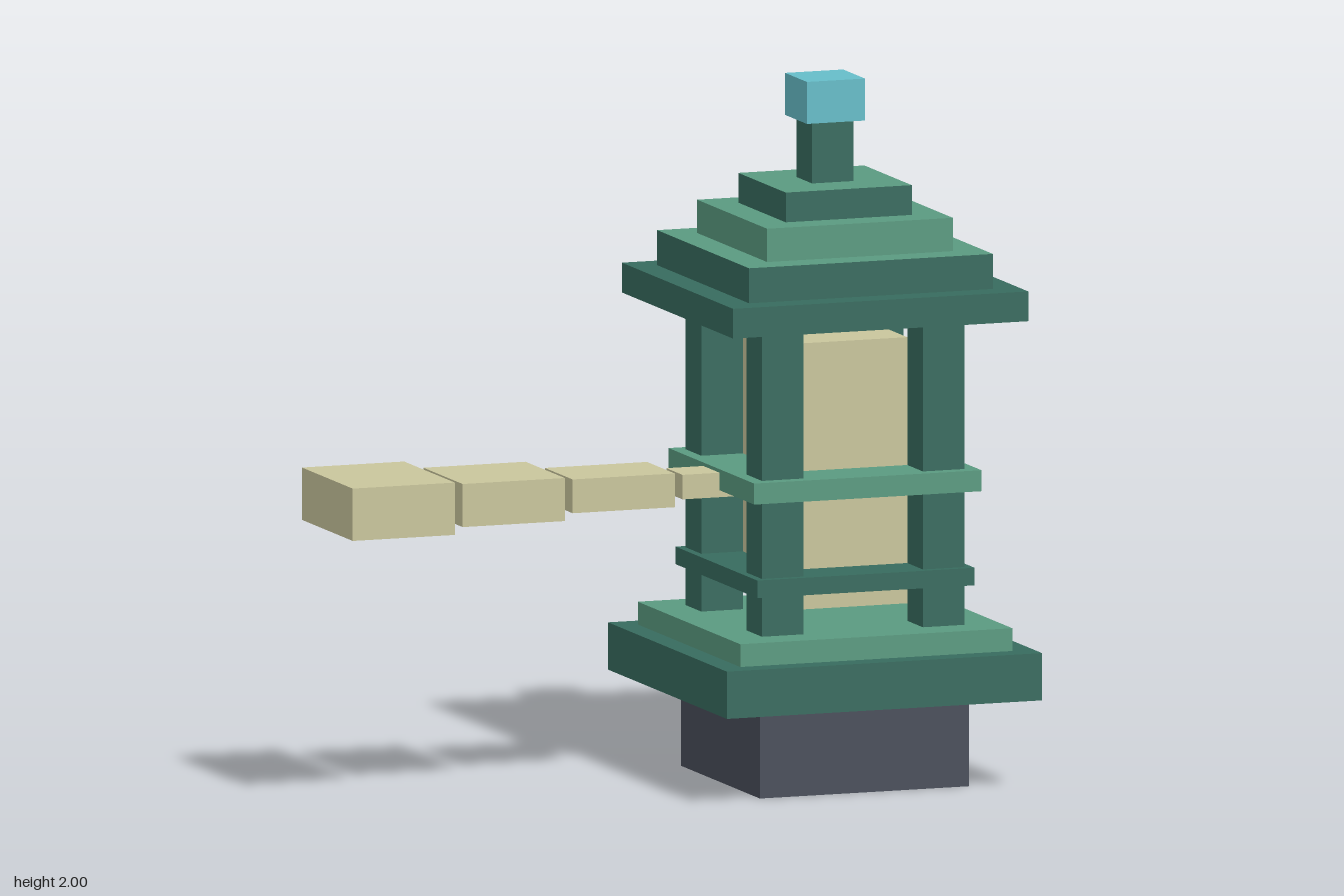
import * as THREE from 'three';

const paint = (name, color) => {
  const m = new THREE.MeshStandardMaterial({ color });
  m.name = name;
  return m;
};

export function createModel() {
  const dark = paint('dark green', 0x376b5e);
  const light = paint('light green', 0x5a9a80);
  const cream = paint('cream', 0xc9c59c);
  const cyan = paint('cyan', 0x66bdc9);
  const slate = paint('slate', 0x484e5a);
  // dark sides with a light top face (box face order: +x -x +y -y +z -z)
  const lightTopped = [dark, dark, light, dark, dark, dark];

  const model = new THREE.Group();
  model.name = 'lantern';

  // box with its bottom at y0 and its top at y1
  const block = (parent, name, material, [w, d], y0, y1, x = 0, z = 0) => {
    const mesh = new THREE.Mesh(new THREE.BoxGeometry(w, y1 - y0, d), material);
    mesh.position.set(x, (y0 + y1) / 2, z);
    mesh.name = name;
    parent.add(mesh);
  };

  // square tower, stacked from the ground up
  const tower = new THREE.Group();
  tower.name = 'tower';
  tower.position.x = 0.51;
  model.add(tower);
  [
    ['foot', slate, 0.63, 0, 0.26],
    ['plinth', dark, 0.95, 0.26, 0.395],
    ['plinthStep', light, 0.82, 0.395, 0.46],
    ['lampCore', cream, 0.36, 0.51, 1.27],
    ['lowerBand', dark, 0.655, 0.575, 0.625],
    ['middleBand', light, 0.685, 0.845, 0.905],
    ['eaves', dark, 0.89, 1.34, 1.425],
    ['roofTierLower', lightTopped, 0.735, 1.425, 1.525],
    ['roofTierMiddle', light, 0.56, 1.525, 1.62],
    ['roofTierUpper', lightTopped, 0.38, 1.62, 1.705],
    ['finialStem', dark, 0.125, 1.705, 1.88],
    ['finialCap', cyan, 0.175, 1.88, 2],
  ].forEach(([name, material, w, y0, y1]) => block(tower, name, material, [w, w], y0, y1));

  // corner posts
  for (const sx of [-1, 1]) {
    for (const sz of [-1, 1]) {
      block(tower, 'cornerPost', dark, [0.125, 0.125], 0.46, 1.34, sx * 0.2425, sz * 0.2425);
    }
  }

  // light beam: separate blocks that widen away from the lamp
  const beam = new THREE.Group();
  beam.name = 'lightBeam';
  model.add(beam);
  for (let i = 0; i < 4; i++) {
    const h = 0.07 + i * 0.0265;
    block(beam, 'beamBlock', cream, [0.308, 0.13 + i * 0.092],
      0.86 - h / 2, 0.86 + h / 2, 0.21 - i * 0.3487);
  }
  return model;
}
